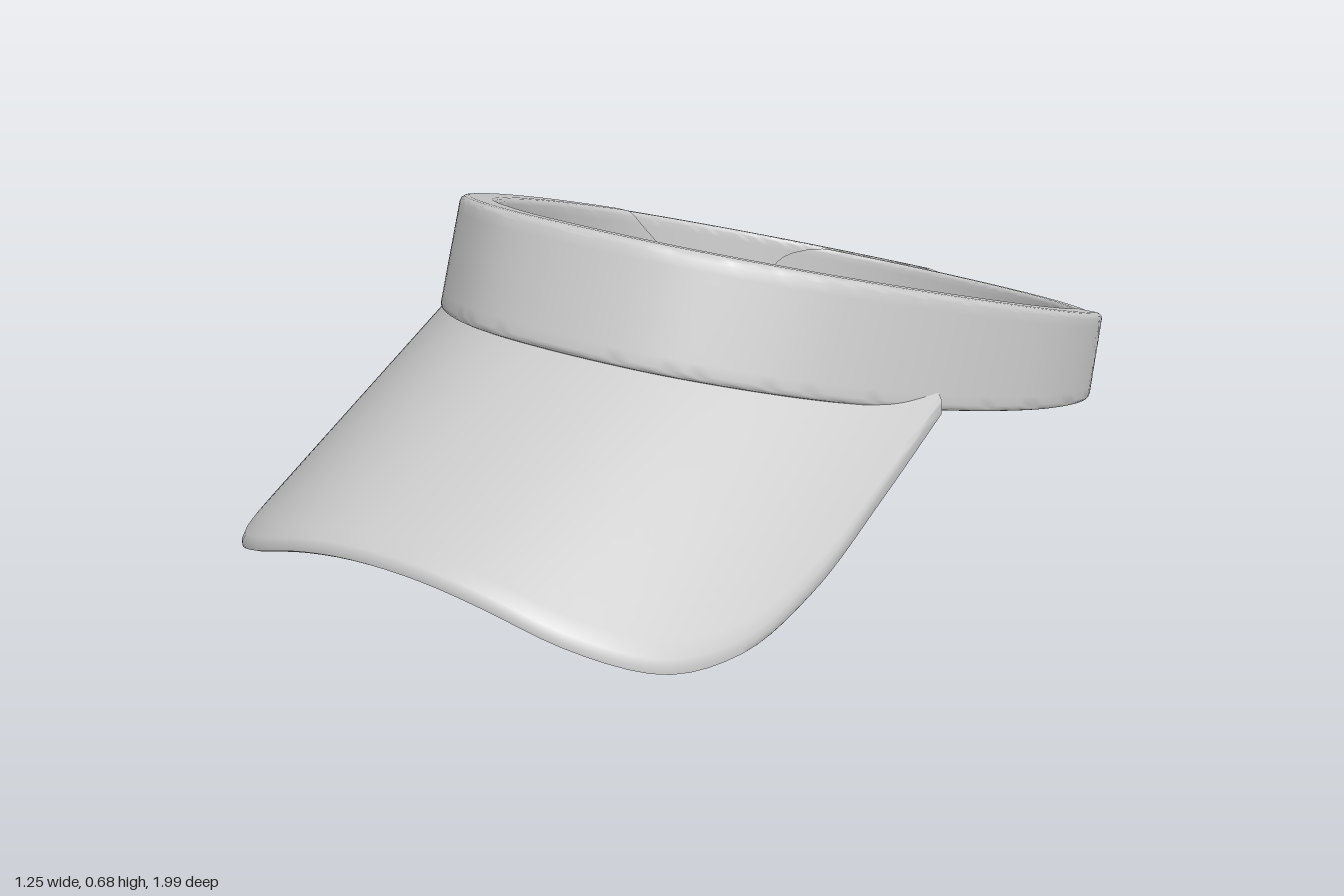
import * as THREE from 'three';
import { toCreasedNormals } from 'three/addons/utils/BufferGeometryUtils.js';

const material = new THREE.MeshStandardMaterial({ color: 0xcccccc, side: THREE.DoubleSide });
const lerp = THREE.MathUtils.lerp;

// Half of the headband's upper outline (x, z), front to back
const half = [[0, 0.4], [0.2, 0.365], [0.37, 0.25], [0.46, 0.14], [0.54, -0.02], [0.6, -0.22],
  [0.623, -0.4], [0.6, -0.6], [0.52, -0.745], [0.38, -0.88], [0.2, -0.965], [0, -0.995]];
const mirrored = half.slice(1, -1).reverse().map(([x, z]) => [-x, z]);
const loop = new THREE.CatmullRomCurve3(
  [...half, ...mirrored].map(([x, z]) => new THREE.Vector3(x, 0, z)), true, 'centripetal');
loop.arcLengthDivisions = 800;

// Point in the headband wall: u around (0 front, 0.5 back), v down, t inward
function wall(u, v, t) {
  const w = ((u % 1) + 1) % 1;
  const p = loop.getPointAt(w), tan = loop.getTangentAt(w);
  const f = THREE.MathUtils.clamp((p.z + 0.99) / 1.39, 0, 1);
  const d = t * (0.055 + 0.025 * f) * lerp(1, 0.7, v);
  const x = p.x + tan.z * d;
  const z = p.z - tan.x * d;
  const low = z + 0.03 + 0.06 * f;
  const topY = 0.54 + 0.385 * z;
  const bottomY = 0.305 + 0.31 * low + 0.025 * f ** 4;
  return new THREE.Vector3(x, lerp(topY, bottomY, v), lerp(z, low, v));
}

// Closed skin through equal cross-section rings, with both ends capped
function skin(rings) {
  const n = rings[0].length, pos = [], index = [];
  rings.forEach((r) => r.forEach((p) => pos.push(p.x, p.y, p.z)));
  for (let i = 0; i < rings.length - 1; i++) {
    for (let j = 0; j < n; j++) {
      const a = i * n + j, b = i * n + (j + 1) % n;
      index.push(a, b, b + n, a, b + n, a + n);
    }
  }
  [0, rings.length - 1].forEach((row) => {
    const c = new THREE.Vector3();
    rings[row].forEach((p) => c.addScaledVector(p, 1 / n));
    const k = pos.length / 3;
    pos.push(c.x, c.y, c.z);
    for (let j = 0; j < n; j++) {
      const a = row * n + j, b = row * n + (j + 1) % n;
      if (row) index.push(k, a, b);
      else index.push(k, b, a);
    }
  });
  const g = new THREE.BufferGeometry();
  g.setAttribute('position', new THREE.Float32BufferAttribute(pos, 3));
  g.setIndex(index);
  return toCreasedNormals(g, 0.75);
}

// Rounded rectangle in (v, t): outer face down, inner face back up
function section(v0, v1, t0, t1) {
  const rv = 0.06, rt = 0.2 * (t1 - t0), pts = [];
  const corner = (v, t, start) => {
    for (let i = 0; i <= 3; i++) {
      const a = start + (i / 3) * Math.PI / 2;
      pts.push([v - rv * Math.sin(a), t - rt * Math.cos(a)]);
    }
  };
  const side = (t, from, to) => {
    for (let i = 1; i < 10; i++) pts.push([lerp(from, to, i / 10), t]);
  };
  corner(v0 + rv, t0 + rt, Math.PI);
  pts.splice(0, 4);
  // Arcs run from the top edge to the outer face, then on round the section
  const arc = (cv, ct, dv0, dt0, dv1, dt1) => {
    for (let i = 0; i <= 3; i++) {
      const a = (i / 3) * Math.PI / 2, c = Math.cos(a), s = Math.sin(a);
      pts.push([cv + rv * (dv0 * c + dv1 * s), ct + rt * (dt0 * c + dt1 * s)]);
    }
  };
  arc(v0 + rv, t0 + rt, -1, 0, 0, -1);
  side(t0, v0 + rv, v1 - rv);
  arc(v1 - rv, t0 + rt, 0, -1, 1, 0);
  arc(v1 - rv, t1 - rt, 1, 0, 0, 1);
  side(t1, v1 - rv, v0 + rv);
  arc(v0 + rv, t1 - rt, 0, 1, -1, 0);
  return pts;
}

// Strip of headband between two end lines uStart(v) and uEnd(v)
function strip(uStart, uEnd, sec, steps) {
  const rings = [];
  for (let i = 0; i <= steps; i++) {
    rings.push(sec.map(([v, t]) => wall(lerp(uStart(v), uEnd(v), i / steps), v, t)));
  }
  return skin(rings);
}

// Brim: a slab arched across x, between the band's lower edge and a rounded outline
function brimGeometry() {
  const rim = [[0, 0.995], [0.2, 0.982], [0.33, 0.945], [0.45, 0.85], [0.52, 0.7], [0.55, 0.5],
    [0.555, 0.25], [0.555, 0.03]];
  const outline = new THREE.CatmullRomCurve3(
    [...rim.slice(1).reverse().map(([x, z]) => [-x, z]), ...rim].map(([x, z]) => new THREE.Vector3(x, 0, z)),
    false, 'centripetal');
  const rows = 14, steps = 72, thick = 0.028, rings = [];
  for (let i = 0; i <= steps; i++) {
    const s = i / steps;
    const inner = wall(lerp(-0.18, 0.18, s), 0.95, 0.45), outer = outline.getPointAt(s);
    const at = (k, drop) => {
      const x = lerp(inner.x, outer.x, k), z = lerp(inner.z, outer.z, k);
      return new THREE.Vector3(x, 0.285 + 0.37 * (1 - z) - 1.1 * Math.abs(x) ** 2.2 - drop, z);
    };
    const ring = [];
    for (let k = 0; k < rows; k++) ring.push(at(k / rows, 0));
    ring.push(at(0.985, 0), at(1, thick * 0.3), at(1, thick * 0.7), at(0.985, thick));
    for (let k = rows - 1; k >= 0; k--) ring.push(at(k / rows, thick));
    rings.push(ring);
  }
  return skin(rings);
}

export function createModel() {
  const model = new THREE.Group();
  const add = (name, geometry) => {
    const mesh = new THREE.Mesh(geometry, material);
    mesh.name = name;
    model.add(mesh);
    return mesh;
  };

  // Wide padded band with slanted, curved rear ends
  const bandEnd = (v) => 0.318 + 0.045 * Math.sin(v * Math.PI / 2);
  add('headband', strip((v) => -bandEnd(v), bandEnd, section(0, 1, 0, 1), 120));

  add('brim', brimGeometry());

  // Overlapping rear straps with rounded tips
  const tip = (v) => 0.045 * Math.sqrt(Math.max(0, 1 - (2 * v - 1) ** 2));
  add('innerStrap', strip(() => 0.3, (v) => 0.542 + tip(v), section(0.03, 0.97, 0.3, 1), 60));
  add('outerStrap', strip((v) => 0.505 - 0.8 * tip(v), () => 0.7, section(0.01, 0.99, 0.1, 0.7), 60));

  // Row of snap pegs, the last two passing through the outer strap
  const pegs = new THREE.Group();
  pegs.name = 'snapPegs';
  const pegShape = new THREE.SphereGeometry(0.021, 20, 14);
  [0.387, 0.417, 0.447, 0.479, 0.507].forEach((u, i) => {
    const peg = new THREE.Mesh(pegShape, material);
    peg.name = 'snapPeg';
    peg.position.copy(wall(u, 0.54, i < 3 ? 0.2 : 0.1));
    pegs.add(peg);
  });
  model.add(pegs);
  return model;
}
